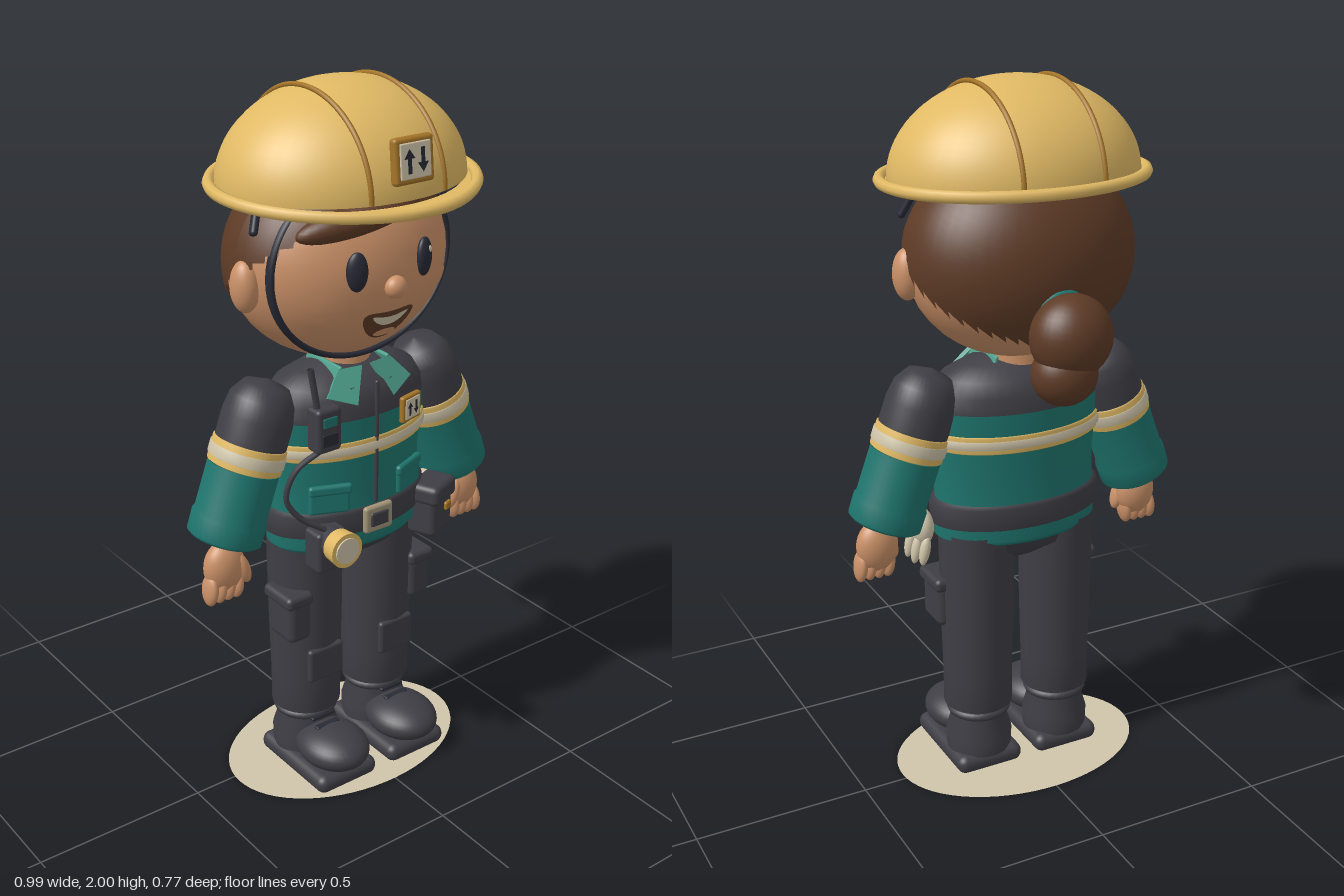
import * as THREE from 'three';
import { RoundedBoxGeometry } from 'three/addons/geometries/RoundedBoxGeometry.js';

const colours = {
  yellow: 0xe0b964, brass: 0xa47428, skin: 0xcb9168, hair: 0x5e3b26, charcoal: 0x3f3e45,
  teal: 0x1f756e, lightTeal: 0x4f9f8b, cream: 0xd0c5aa, stone: 0xa39578, navy: 0x282a35,
};
const M = {};
for (const [name, color] of Object.entries(colours)) {
  M[name] = new THREE.MeshStandardMaterial({ color, side: THREE.DoubleSide });
  M[name].name = name;
}

const V = (x, y, z) => new THREE.Vector3(x, y, z);
function add(parent, name, geo, mat, pos = [0, 0, 0], scale = [1, 1, 1], rot = [0, 0, 0]) {
  const m = new THREE.Mesh(geo, mat);
  m.name = name;
  m.position.set(...pos);
  m.scale.set(...scale);
  m.rotation.set(...rot);
  parent.add(m);
  return m;
}
const ball = (p, name, mat, pos, r, rot) => add(p, name, new THREE.SphereGeometry(1, 32, 20), mat, pos, r, rot);
const box = (p, name, mat, pos, [w, h, d], rot, r = 0.012) =>
  add(p, name, new RoundedBoxGeometry(w, h, d, 3, Math.min(r, w / 2.1, h / 2.1, d / 2.1)), mat, pos, [1, 1, 1], rot);
const lathe = (pts) => new THREE.LatheGeometry(pts.map(([r, y]) => new THREE.Vector2(r, y)), 40);
const tube = (pts, r, closed = false) =>
  new THREE.TubeGeometry(new THREE.CatmullRomCurve3(pts, closed), 64, r, 8, closed);
function remap(geo, rule) {
  const p = geo.attributes.position, v = V(0, 0, 0);
  for (let i = 0; i < p.count; i++) {
    rule(v.fromBufferAttribute(p, i));
    p.setXYZ(i, v.x, v.y, v.z);
  }
  geo.computeVertexNormals();
  return geo;
}

// Head size, and the depth of the face at a point
const HY = 1.535, HR = [0.315, 0.275, 0.245];
const faceZ = (x, y) => HR[2] * Math.sqrt(Math.max(0, 1 - (x / HR[0]) ** 2 - ((y - HY) / HR[1]) ** 2));

// Thin patch that follows the curve of the face
function facePatch(p, name, mat, x, y, rx, ry, off, bend = 0) {
  add(p, name, remap(new THREE.RingGeometry(0.001, 1, 32, 5), (v) => {
    const px = x + v.x * rx, py = y + v.y * ry + bend * v.x * v.x;
    v.set(px, py, faceZ(px, py) + off);
  }), mat);
}

// Square badge with an up and a down arrow
function badge(parent, name, pos, size, rot) {
  const g = new THREE.Group();
  g.name = name;
  g.position.set(...pos);
  g.rotation.set(...rot);
  g.scale.setScalar(size);
  box(g, 'badgeFrame', M.brass, [0, 0, 0], [1, 0.95, 0.22], [0, 0, 0], 0.08);
  box(g, 'badgePlate', M.cream, [0, 0, 0.1], [0.78, 0.73, 0.08], [0, 0, 0], 0.03);
  const arrow = new THREE.Shape([[-0.05, -0.25], [0.05, -0.25], [0.05, 0.05], [0.14, 0.05], [0, 0.25], [-0.14, 0.05],
    [-0.05, 0.05]].map(([x, y]) => new THREE.Vector2(x, y)));
  for (const s of [-1, 1])
    add(g, 'badgeArrow', new THREE.ShapeGeometry(arrow), M.navy, [s * 0.17, 0, 0.15], [1, 1, 1], [0, 0, s > 0 ? Math.PI : 0]);
  parent.add(g);
}

function buildHead(g) {
  ball(g, 'head', M.skin, [0, HY, 0], HR);
  add(g, 'neck', new THREE.CylinderGeometry(0.075, 0.085, 0.14, 24), M.skin, [0, 1.25, 0.02]);
  // Hair shell cut along a slope from forehead to nape
  add(g, 'hair', remap(new THREE.SphereGeometry(1, 48, 24), (v) => {
    const t = Math.acos(THREE.MathUtils.clamp(v.y, -1, 1)) / Math.PI, a = Math.atan2(v.x, v.z);
    const th = t * Math.acos((-0.02 + 0.185 * Math.cos(a)) / 0.287);
    v.set(0.325 * Math.sin(th) * Math.sin(a), HY + 0.287 * Math.cos(th), 0.256 * Math.sin(th) * Math.cos(a));
  }), M.hair);
  ball(g, 'fringe', M.hair, [-0.08, 1.685, 0.195], [0.17, 0.042, 0.045], [0, -0.25, 0.2]);
  ball(g, 'bun', M.hair, [0, 1.385, -0.288], [0.112, 0.112, 0.097]);
  ball(g, 'bunTail', M.hair, [0.02, 1.29, -0.29], [0.09, 0.085, 0.08]);
  add(g, 'hairTie', new THREE.TorusGeometry(0.06, 0.014, 8, 24), M.teal, [0, 1.43, -0.225], [1, 1, 1], [-0.4, 0, 0]);
  // Face
  for (const s of [-1, 1]) {
    ball(g, 'ear', M.skin, [s * 0.312, 1.51, 0.03], [0.038, 0.07, 0.043]);
    ball(g, 'eye', M.navy, [s * 0.108, 1.56, faceZ(0.108, 1.56)], [0.029, 0.052, 0.017], [0, s * 0.35, 0]);
    ball(g, 'eyeGlint', M.cream, [s * 0.108 + 0.008, 1.58, faceZ(0.108, 1.58) + 0.013], [0.008, 0.011, 0.005]);
    facePatch(g, 'cheek', M.skin, s * 0.19, 1.48, 0.04, 0.026, 0.006);
    box(g, 'strapClip', M.navy, [s * 0.292, 1.695, 0.055], [0.02, 0.1, 0.025], [-0.35, 0, s * 0.4]);
  }
  ball(g, 'nose', M.skin, [0, 1.505, 0.25], [0.031, 0.03, 0.026]);
  facePatch(g, 'mouth', M.hair, 0, 1.393, 0.08, 0.043, 0.005, 0.03);
  facePatch(g, 'teeth', M.cream, 0, 1.408, 0.056, 0.013, 0.009, 0.018);
  facePatch(g, 'tongue', M.skin, 0, 1.37, 0.035, 0.012, 0.009);
  // Chin strap
  const strap = [];
  for (let i = 0; i <= 24; i++) {
    const a = Math.PI * (-0.23 + 1.46 * i / 24);
    strap.push(V(0.287 * Math.cos(a), HY - 0.253 * Math.sin(a), 0));
  }
  add(g, 'chinStrap', tube(strap, 0.009), M.navy, [0, 0, 0.105], [1, 1, 1.7]);
}

function buildHelmet(g) {
  add(g, 'helmetDome', new THREE.SphereGeometry(1, 48, 20, 0, Math.PI * 2, 0, Math.PI / 2), M.yellow,
    [0, 1.745, 0.022], [0.345, 0.255, 0.288]);
  // Brim, drawn out to a soft peak at the front
  const edge = (a, t) => {
    const c = Math.cos(a), s = Math.sin(a), f = Math.max(0, s);
    const x = THREE.MathUtils.lerp(0.335, 0.36 * (1 - 0.13 * f ** 3), t) * c;
    const z = 0.022 + THREE.MathUtils.lerp(0.28, s > 0 ? 0.347 : 0.3, t) * s;
    return V(x, 1.744 - 0.035 * z, z);
  };
  add(g, 'brim', remap(new THREE.RingGeometry(0.8, 1, 64, 3), (v) =>
    v.copy(edge(Math.atan2(v.y, v.x), (Math.hypot(v.x, v.y) - 0.8) / 0.2))), M.yellow);
  const rim = Array.from({ length: 40 }, (_, i) => edge(i * Math.PI / 20, 1));
  add(g, 'brimRim', tube(rim, 0.016, true), M.yellow);
  for (const s of [-1, 1]) {
    const rib = Array.from({ length: 25 }, (_, i) => {
      const a = i * Math.PI / 24;
      return V(s * 0.115, 1.747 + 0.242 * Math.sin(a), 0.022 + 0.272 * Math.cos(a));
    });
    add(g, 'helmetRib', tube(rib, 0.007), M.brass);
  }
  badge(g, 'helmetBadge', [0, 1.845, 0.303], 0.122, [-0.1, 0, 0]);
}

function buildTorso(g) {
  const band = (name, mat, pts) => add(g, name, lathe(pts), mat, [0, 0, 0.03], [1, 1, 0.6]);
  band('shirt', M.teal, [[0, 0.74], [0.23, 0.735], [0.245, 0.75], [0.24, 0.86], [0.238, 0.95], [0.247, 1.05], [0.25, 1.125]]);
  band('yoke', M.charcoal, [[0.25, 1.125], [0.244, 1.17], [0.215, 1.21], [0.15, 1.24], [0.07, 1.26]]);
  band('chestStripe', M.yellow, [[0.245, 1.012], [0.252, 1.016], [0.255, 1.06], [0.246, 1.064]]);
  band('chestStripeCentre', M.cream, [[0.25, 1.026], [0.259, 1.028], [0.259, 1.05], [0.25, 1.052]]);
  band('belt', M.charcoal, [[0.24, 0.782], [0.255, 0.788], [0.257, 0.85], [0.24, 0.858]]);
  box(g, 'zip', M.charcoal, [0, 1.045, 0.178], [0.012, 0.36, 0.012]);
  box(g, 'buckle', M.stone, [0, 0.822, 0.187], [0.095, 0.08, 0.02]);
  box(g, 'buckleCentre', M.charcoal, [0, 0.822, 0.196], [0.06, 0.042, 0.012]);
  const flap = new THREE.Shape([[0.015, 0.05], [0.085, 0.055], [0.14, -0.01], [0.06, -0.05]].map(([x, y]) => new THREE.Vector2(x, y)));
  const flapGeo = new THREE.ExtrudeGeometry(flap, { depth: 0.012, bevelEnabled: false });
  for (const s of [-1, 1]) {
    add(g, 'collar', flapGeo, M.lightTeal, [0, 1.21, 0.15], [s, 1, 1], [-0.5, s * 0.15, 0]);
    box(g, 'collarSide', M.lightTeal, [s * 0.085, 1.24, 0.05], [0.012, 0.05, 0.15], [0, 0, s * 0.35]);
    box(g, 'chestPocket', M.teal, [s * 0.135, 0.9, 0.146], [0.115, 0.085, 0.02], [0, s * 0.38, 0]);
    box(g, 'pocketFlap', M.teal, [s * 0.135, 0.93, 0.152], [0.122, 0.03, 0.02], [0, s * 0.38, 0]);
  }
  badge(g, 'chestBadge', [0.12, 1.115, 0.171], 0.08, [0, 0.25, 0]);
}

function buildArm(root, s) {
  const g = new THREE.Group();
  g.name = s > 0 ? 'leftArm' : 'rightArm';
  g.position.set(s * 0.265, 1.19, 0.03);
  g.rotation.z = s * 0.35;
  root.add(g);
  add(g, 'upperSleeve', lathe([[0.098, -0.12], [0.098, -0.05], [0.09, 0], [0.062, 0.04], [0, 0.055]]), M.charcoal);
  add(g, 'sleeveStripe', lathe([[0.096, -0.19], [0.102, -0.187], [0.102, -0.123], [0.096, -0.12]]), M.yellow);
  add(g, 'sleeveStripeCentre', lathe([[0.1, -0.172], [0.105, -0.17], [0.105, -0.14], [0.1, -0.138]]), M.cream);
  add(g, 'lowerSleeve', lathe([[0, -0.395], [0.09, -0.4], [0.103, -0.39], [0.104, -0.335], [0.099, -0.325], [0.099, -0.19]]), M.teal);
  // Hand
  ball(root, 'palm', M.skin, [s * 0.415, 0.745, 0.05], [0.06, 0.075, 0.045]);
  for (let i = 0; i < 4; i++)
    ball(root, 'finger', M.skin, [s * (0.383 + i * 0.027), 0.69, 0.055], [0.018, 0.047, 0.032], [0, 0, s * 0.1]);
  ball(root, 'thumb', M.skin, [s * 0.37, 0.735, 0.07], [0.02, 0.05, 0.025], [0, 0, -s * 0.3]);
}

function buildLeg(g, s) {
  const x = s * 0.127;
  add(g, 'trouserLeg', lathe([[0.085, 0.19], [0.1, 0.2], [0.1, 0.3], [0.105, 0.5], [0.108, 0.76]]), M.charcoal, [x, 0, 0.018]);
  box(g, 'kneePatch', M.charcoal, [x, 0.365, 0.114], [0.118, 0.105, 0.022]);
  box(g, 'thighPocket', M.charcoal, [s * 0.213, 0.535, 0.065], [0.075, 0.145, 0.115], [0, 0, 0], 0.02);
  box(g, 'thighPocketFlap', M.charcoal, [s * 0.216, 0.595, 0.065], [0.088, 0.04, 0.13], [0, 0, 0], 0.015);
  // Boot
  box(g, 'sole', M.charcoal, [x, 0.03, 0.08], [0.205, 0.055, 0.315], [0, 0, 0], 0.026);
  ball(g, 'bootToe', M.charcoal, [x, 0.1, 0.15], [0.1, 0.058, 0.12]);
  add(g, 'bootShaft', lathe([[0.095, 0.05], [0.097, 0.1], [0.082, 0.15], [0.086, 0.185], [0.075, 0.21]]), M.charcoal, [x, 0, 0.015]);
  add(g, 'bootCollar', new THREE.TorusGeometry(0.08, 0.014, 8, 28), M.charcoal, [x, 0.18, 0.015], [1, 1, 1], [Math.PI / 2, 0, 0]);
  for (let i = 0; i < 3; i++)
    box(g, 'lace', M.navy, [x, 0.135 + i * 0.018, 0.148 - i * 0.025], [0.08, 0.01, 0.02]);
}

function buildKit(g) {
  // Radio with aerial and cord
  box(g, 'radio', M.charcoal, [-0.175, 1.135, 0.18], [0.078, 0.125, 0.055]);
  box(g, 'radioScreen', M.teal, [-0.175, 1.16, 0.207], [0.045, 0.028, 0.006]);
  box(g, 'radioGrille', M.navy, [-0.175, 1.11, 0.207], [0.05, 0.035, 0.006]);
  add(g, 'aerial', tube([V(-0.195, 1.18, 0.18), V(-0.207, 1.25, 0.18), V(-0.218, 1.31, 0.18)], 0.009), M.charcoal);
  add(g, 'cord', tube([V(-0.19, 1.08, 0.19), V(-0.26, 1.03, 0.17), V(-0.285, 0.95, 0.16), V(-0.25, 0.89, 0.17), V(-0.18, 0.84, 0.19)], 0.008), M.charcoal);
  // Belt lamp
  const turn = [Math.PI / 2, 0, 0];
  box(g, 'lampPouch', M.charcoal, [-0.165, 0.775, 0.17], [0.095, 0.12, 0.07]);
  add(g, 'lampBody', new THREE.CylinderGeometry(0.045, 0.036, 0.07, 28), M.charcoal, [-0.165, 0.805, 0.205], [1, 1, 1], turn);
  add(g, 'lampHead', new THREE.CylinderGeometry(0.05, 0.046, 0.045, 28), M.yellow, [-0.165, 0.805, 0.245], [1, 1, 1], turn);
  add(g, 'lampLens', new THREE.CylinderGeometry(0.037, 0.037, 0.006, 28), M.cream, [-0.165, 0.805, 0.269], [1, 1, 1], turn);
  // Tool pouch and work gloves
  box(g, 'toolPouch', M.charcoal, [0.23, 0.765, 0.135], [0.115, 0.15, 0.09], [0, 0.4, 0], 0.018);
  box(g, 'toolPouchFlap', M.charcoal, [0.233, 0.82, 0.14], [0.125, 0.06, 0.1], [0, 0.4, 0], 0.018);
  box(g, 'toolPouchClip', M.brass, [0.253, 0.78, 0.187], [0.03, 0.025, 0.012], [0, 0.4, 0]);
  ball(g, 'glove', M.cream, [0.28, 0.775, 0.05], [0.032, 0.055, 0.045]);
  for (let i = 0; i < 4; i++)
    ball(g, 'gloveFinger', M.cream, [0.287 + (i % 2) * 0.015, 0.715, 0.015 + i * 0.023], [0.015, 0.045, 0.015], [0, 0, 0.2]);
}

export function createModel() {
  const root = new THREE.Group();
  root.name = 'worker';
  const part = (name, build) => {
    const g = new THREE.Group();
    g.name = name;
    build(g);
    root.add(g);
  };
  part('headGroup', buildHead);
  part('helmet', buildHelmet);
  part('torso', buildTorso);
  part('arms', (g) => [-1, 1].forEach((s) => buildArm(g, s)));
  part('legs', (g) => [-1, 1].forEach((s) => buildLeg(g, s)));
  add(root, 'hips', lathe([[0, 0.65], [0.09, 0.655], [0.2, 0.7], [0.23, 0.76]]), M.charcoal, [0, 0, 0.025], [1, 1, 0.55]);
  part('kit', buildKit);
  add(root, 'groundDisc', new THREE.CircleGeometry(1, 64), M.cream, [0, 0.001, 0.025], [0.373, 0.26, 1], [-Math.PI / 2, 0, 0]);
  return root;
}
